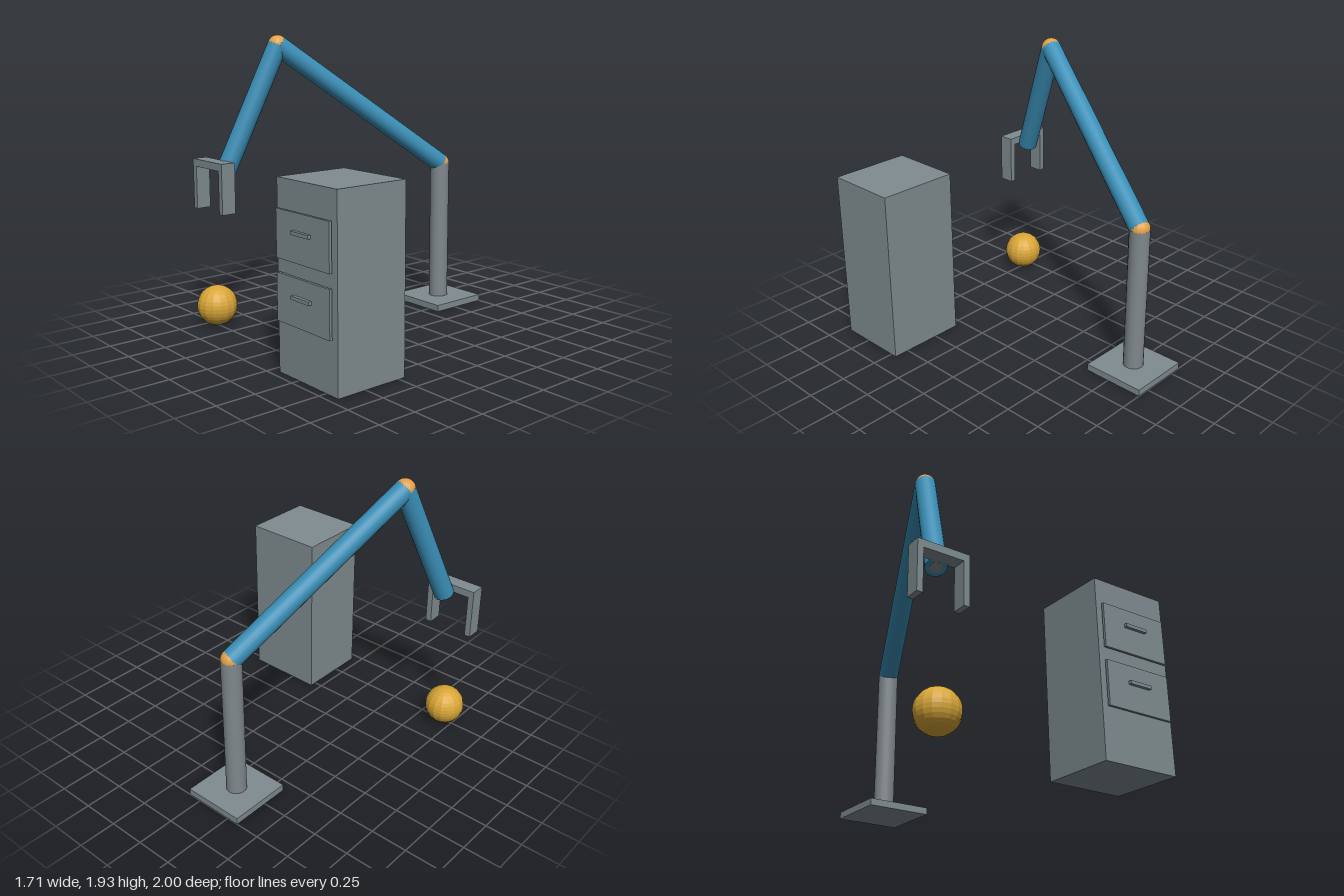
import * as THREE from 'three';

const material = (name, color, flat = false) => {
  const m = new THREE.MeshStandardMaterial({ color, flatShading: flat });
  m.name = name;
  return m;
};

export function createModel() {
  const root = new THREE.Group();
  root.name = 'robotArmScene';
  const grey = material('steelGrey', 0x7f8c90);
  const columnGrey = material('columnGrey', 0x80888c);
  const blue = material('armBlue', 0x3a8fb7);
  const orange = material('jointOrange', 0xe3a04a, true);
  const gold = material('ballGold', 0xd9a637, true);

  const add = (name, geometry, mat, parent = root) => {
    const mesh = new THREE.Mesh(geometry, mat);
    mesh.name = name;
    parent.add(mesh);
    return mesh;
  };
  // Box given by its low and high corners
  const box = (name, a, b, parent, mat = grey) => {
    const mesh = add(name, new THREE.BoxGeometry(b[0] - a[0], b[1] - a[1], b[2] - a[2]), mat, parent);
    mesh.position.set((a[0] + b[0]) / 2, (a[1] + b[1]) / 2, (a[2] + b[2]) / 2);
    return mesh;
  };
  // Cylinder between two points
  const rod = (name, from, to, radius, mat, parent) => {
    const dir = to.clone().sub(from);
    const mesh = add(name, new THREE.CylinderGeometry(radius, radius, dir.length(), 20), mat, parent);
    mesh.position.copy(from).addScaledVector(dir, 0.5);
    mesh.quaternion.setFromUnitVectors(new THREE.Vector3(0, 1, 0), dir.normalize());
    return mesh;
  };

  // Arm: base, column, two links and the ball joints between them
  const arm = new THREE.Group();
  arm.name = 'arm';
  root.add(arm);
  const R = 0.067;
  const foot = new THREE.Vector3(-0.12, 0.04, -0.787);
  const shoulder = new THREE.Vector3(-0.12, 1.02, -0.787);
  const elbow = new THREE.Vector3(-0.527, 1.867, 0.33);
  const wrist = new THREE.Vector3(-0.65, 1.055, 0.67);
  box('basePlate', [-0.332, 0, -1], [0.092, 0.045, -0.576], arm);
  rod('column', foot, shoulder, R, columnGrey, arm);
  rod('upperArm', shoulder, elbow, R, blue, arm);
  rod('forearm', elbow, wrist, R, blue, arm);
  for (const [name, p] of [['shoulderJoint', shoulder], ['elbowJoint', elbow]]) {
    add(name, new THREE.SphereGeometry(R, 16, 16), orange, arm).position.copy(p);
  }
  // Small cap on the open end of the forearm
  const along = wrist.clone().sub(elbow).normalize();
  rod('wristCap', wrist, wrist.clone().addScaledVector(along, 0.003), 0.04, columnGrey, arm);

  // Gripper: crossbar and two fingers
  const gripper = new THREE.Group();
  gripper.name = 'gripper';
  root.add(gripper);
  box('crossbar', [-0.855, 1.07, 0.7], [-0.505, 1.12, 0.8], gripper);
  for (const x of [-0.855, -0.545]) box('finger', [x, 0.785, 0.7], [x + 0.04, 1.07, 0.8], gripper);

  // Cabinet: body, two drawer fronts and their handles
  const cabinet = new THREE.Group();
  cabinet.name = 'cabinet';
  root.add(cabinet);
  box('cabinetBody', [0.312, 0, 0.455], [0.855, 1.16, 0.948], cabinet);
  for (const y of [0.328, 0.7]) {
    box('drawerFront', [0.342, y, 0.962], [0.824, y + 0.288, 0.979], cabinet);
    box('drawerHandle', [0.502, y + 0.164, 0.979], [0.664, y + 0.186, 1], cabinet);
  }

  // Ball on the floor below the gripper
  add('ball', new THREE.SphereGeometry(0.135, 16, 16), gold).position.set(-0.68, 0.138, 0.75);
  return root;
}
